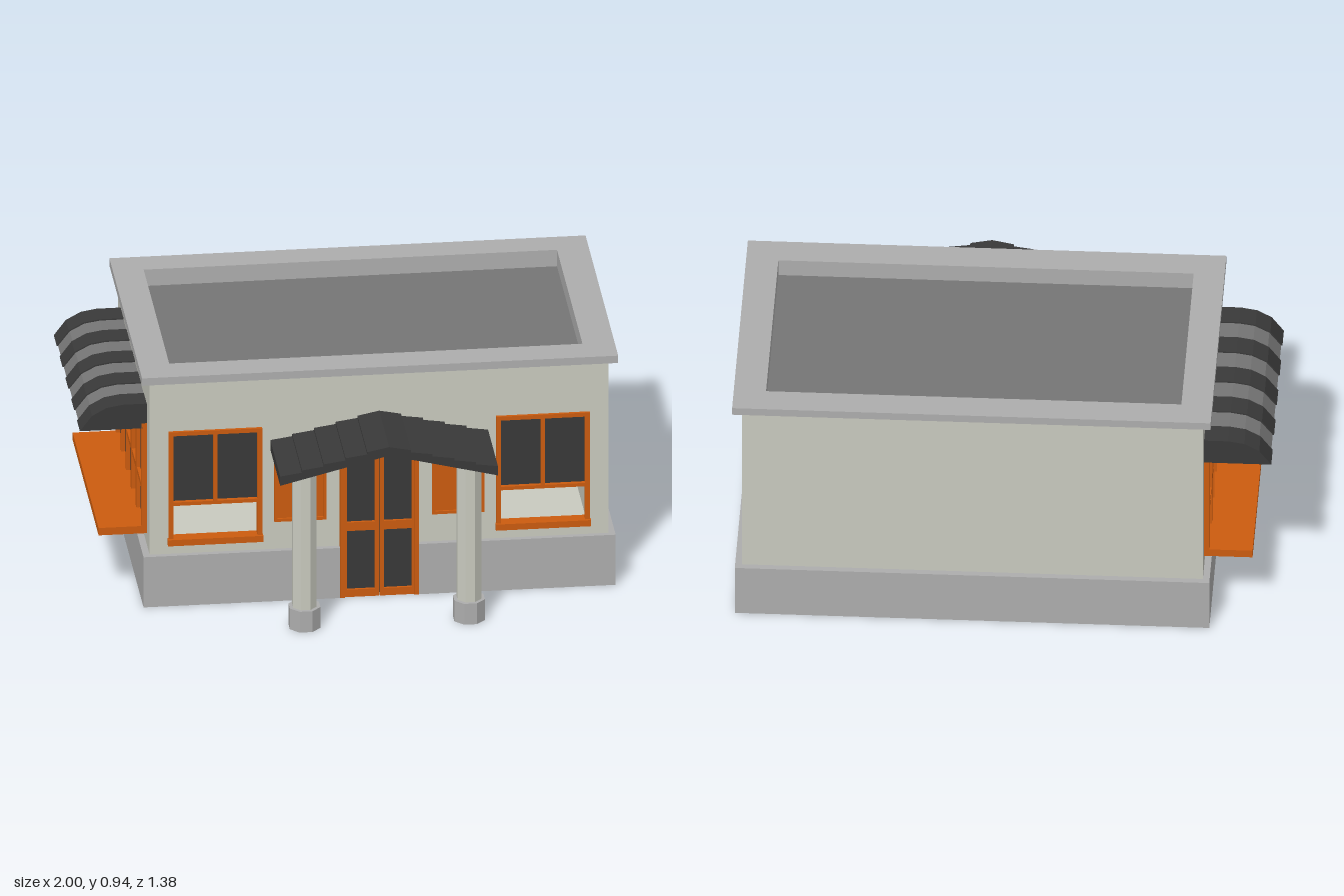
import * as THREE from 'three';

const mat = (name, color) => {
  const m = new THREE.MeshStandardMaterial({ color });
  m.name = name;
  return m;
};

export function createModel() {
  const root = new THREE.Group();
  root.name = 'shop';
  const cream = mat('cream wall', 0xc9cabf);
  const stone = mat('pale grey stone', 0xadadad);
  const deck = mat('mid grey', 0x757575);
  const orange = mat('orange wood', 0xcc5c0f);
  const dark = mat('charcoal', 0x393939);

  const add = (name, geo, m, parent = root) => {
    const mesh = new THREE.Mesh(geo, m);
    mesh.name = name;
    parent.add(mesh);
    return mesh;
  };
  const group = (name) => {
    const g = new THREE.Group();
    g.name = name;
    root.add(g);
    return g;
  };
  // Box given by its limits on each axis
  const box = (name, m, x0, x1, y0, y1, z0, z1, parent) => {
    const geo = new THREE.BoxGeometry(x1 - x0, y1 - y0, z1 - z0);
    geo.translate((x0 + x1) / 2, (y0 + y1) / 2, (z0 + z1) / 2);
    return add(name, geo, m, parent);
  };
  const shape = (pts) => new THREE.Shape(pts.map((p) => new THREE.Vector2(...p)));
  const rect = (x0, x1, y0, y1) => shape([[x0, y0], [x1, y0], [x1, y1], [x0, y1]]);
  const extrude = (s, depth) => new THREE.ExtrudeGeometry(s, { depth, bevelEnabled: false });
  // Flat rectangular ring lying in the ground plane, from y0 to y1
  const ring = (name, m, o, i, y0, y1) => {
    const s = rect(o[0], o[1], -o[3], -o[2]);
    s.holes.push(rect(i[0], i[1], -i[3], -i[2]));
    return add(name, extrude(s, y1 - y0).rotateX(-Math.PI / 2).translate(0, y0, 0), m);
  };

  // Hollow walls, with real openings in the front
  const windows = [[-0.68, -0.33], [0.545, 0.895]];
  const front = rect(-0.75, 0.965, 0, 0.905);
  windows.forEach(([a, b]) => front.holes.push(rect(a + 0.012, b - 0.012, 0.255, 0.695)));
  add('frontWall', extrude(front, 0.03).translate(0, 0, 0.335), cream);
  box('backWall', cream, -0.75, 0.965, 0, 0.905, -0.665, -0.635);
  box('leftWall', cream, 0.935, 0.965, 0, 0.905, -0.635, 0.335);
  box('rightWall', cream, -0.75, -0.72, 0, 0.905, -0.635, 0.335);
  box('floor', cream, -0.72, 0.935, 0.03, 0.05, -0.635, 0.335);

  // Plinth, interrupted by the door
  const plinth = group('plinth');
  box('plinthBack', stone, -0.775, 0.99, 0, 0.205, -0.69, -0.665, plinth);
  box('plinthLeft', stone, 0.965, 0.99, 0, 0.205, -0.665, 0.385, plinth);
  box('plinthRight', stone, -0.775, -0.75, 0, 0.205, -0.665, 0.385, plinth);
  box('plinthFront', stone, -0.75, -0.04, 0, 0.205, 0.365, 0.385, plinth);
  box('plinthFront', stone, 0.255, 0.965, 0, 0.205, 0.365, 0.385, plinth);

  // Flat roof sunk behind a rim
  const opening = [-0.665, 0.88, -0.575, 0.26];
  ring('roofRim', stone, [-0.78, 1, -0.69, 0.38], opening, 0.905, 0.935);
  ring('roofParapet', stone, [-0.72, 0.935, -0.635, 0.335], opening, 0.86, 0.905);
  box('roofDeck', deck, -0.72, 0.935, 0.85, 0.868, -0.635, 0.335);

  // Front windows: glazed above, open below
  windows.forEach(([a, b]) => {
    const g = group('frontWindow');
    const mid = (a + b) / 2;
    box('windowGlass', dark, a + 0.01, b - 0.01, 0.41, 0.7, 0.348, 0.356, g);
    box('windowTop', orange, a, b, 0.69, 0.706, 0.345, 0.376, g);
    box('windowRail', orange, a + 0.018, b - 0.018, 0.403, 0.417, 0.345, 0.372, g);
    box('windowMullion', orange, mid - 0.008, mid + 0.008, 0.417, 0.69, 0.345, 0.372, g);
    box('windowSide', orange, a, a + 0.018, 0.265, 0.69, 0.345, 0.376, g);
    box('windowSide', orange, b - 0.018, b, 0.265, 0.69, 0.345, 0.376, g);
    box('windowSill', orange, a - 0.003, b + 0.003, 0.245, 0.27, 0.335, 0.386, g);
  });

  // Double door
  const door = group('door');
  box('doorGlass', dark, -0.03, 0.245, 0.01, 0.655, 0.365, 0.37, door);
  [[-0.04, -0.022], [0.237, 0.255]].forEach(([a, b]) =>
    box('doorJamb', orange, a, b, 0, 0.67, 0.365, 0.387, door));
  box('doorHead', orange, -0.022, 0.237, 0.652, 0.67, 0.365, 0.387, door);
  [[-0.022, 0.106], [0.109, 0.237]].forEach(([a, b], i) => {
    const l = a + (i ? 0.016 : 0.008);
    const r = b - (i ? 0.008 : 0.016);
    box('doorStile', orange, a, l, 0, 0.652, 0.365, 0.38, door);
    box('doorStile', orange, r, b, 0, 0.652, 0.365, 0.38, door);
    [[0, 0.03], [0.27, 0.305], [0.636, 0.652]].forEach(([y0, y1]) =>
      box('doorRail', orange, l, r, y0, y1, 0.365, 0.38, door));
  });

  // Notice boards either side of the door
  [[-0.285, -0.09], [0.305, 0.5]].forEach(([a, b]) => {
    const g = group('noticeBoard');
    box('boardPanel', orange, a, b, 0.32, 0.58, 0.365, 0.37, g);
    const s = rect(a, b, 0.32, 0.58);
    s.holes.push(rect(a + 0.012, b - 0.012, 0.332, 0.568));
    add('boardFrame', extrude(s, 0.007).translate(0, 0, 0.37), orange, g);
  });

  // Porch columns
  const octagon = (flat, y0, y1) => {
    const r = flat / 2 / Math.cos(Math.PI / 8);
    return new THREE.CylinderGeometry(r, r, y1 - y0, 8).toNonIndexed()
      .rotateY(Math.PI / 8).translate(0, (y0 + y1) / 2, 0);
  };
  [-0.2, 0.415].forEach((x) => {
    const g = group('column');
    g.position.set(x, 0, 0.615);
    [['columnShaft', 0.088, 0.08, 0.655, cream], ['columnFoot', 0.114, 0, 0.085, stone]]
      .forEach(([n, f, y0, y1, m]) => {
        const geo = octagon(f, y0, y1);
        geo.computeVertexNormals();
        add(n, geo, m, g);
      });
  });

  // Gabled porch roof with overlapping shingle courses
  const half = [[0, 0.75]];
  const courses = 5;
  for (let i = 1; i <= courses; i++) {
    const x = (0.407 * i) / courses;
    const y = 0.75 - (0.103 * i) / courses;
    half.push([x, y + 0.004]);
    if (i < courses) half.push([x, y - 0.005]);
  }
  half.push([0.407, 0.613]);
  const porch = [...half, [0, 0.715], ...half.slice(1).reverse().map(([x, y]) => [-x, y])];
  add('porchRoof', extrude(shape(porch), 0.325).translate(0.108, 0, 0.365), dark);

  // Serving window on the right side, with counter
  const serving = group('servingWindow');
  box('servingGlass', dark, -0.755, -0.75, 0.28, 0.7, -0.57, 0.26, serving);
  for (let i = 0; i <= 5; i++) {
    const z = -0.57 + i * 0.166;
    box('servingPost', orange, -0.77, -0.75, 0.25, 0.7, z - 0.01, z + 0.01, serving);
  }
  [[0.425, 0.445], [0.68, 0.7]].forEach(([y0, y1]) =>
    box('servingRail', orange, -0.768, -0.75, y0, y1, -0.57, 0.26, serving));
  box('counter', orange, -0.93, -0.75, 0.25, 0.28, -0.58, 0.27);

  // Striped awning
  const awning = group('awning');
  const profile = [[0, 0.68], [0, 0.78], [-0.09, 0.78], [-0.15, 0.77], [-0.205, 0.74], [-0.25, 0.68]];
  const step = 0.855 / 9;
  for (let i = 0; i < 9; i++) {
    const light = i % 2;
    const pts = profile.map(([x, y]) => (light ? [x * 0.98, 0.68 + (y - 0.68) * 0.95] : [x, y]));
    add(light ? 'awningLightStripe' : 'awningDarkStripe',
      extrude(shape(pts), step).translate(-0.75, 0, -0.585 + i * step), light ? deck : dark, awning);
  }
  return root;
}
